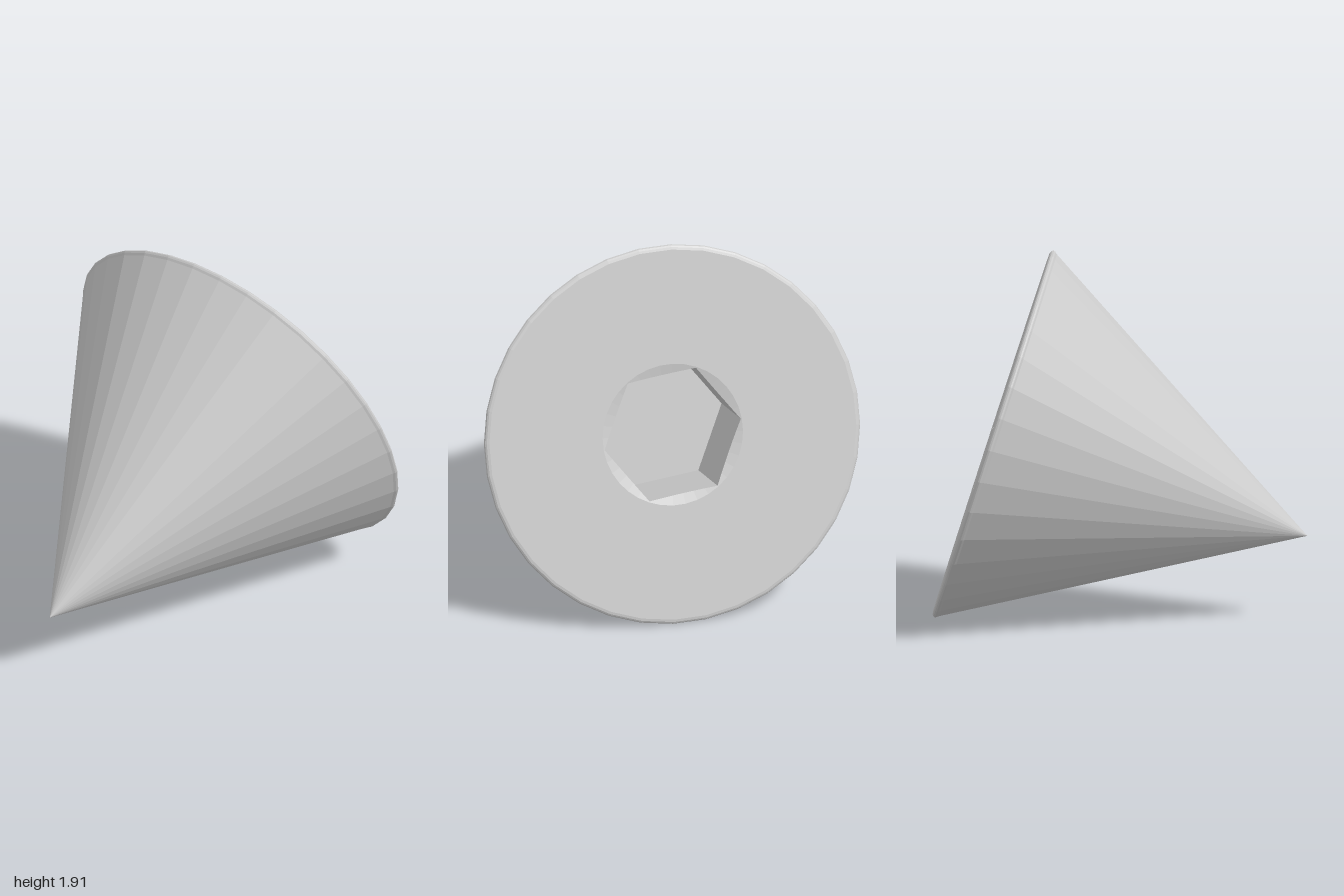
import * as THREE from 'three';

const SIDES = 36;
const PHASE = THREE.MathUtils.degToRad(6); // slight twist about the axis
const HEIGHT = 1.727;    // tip to flat face
const RIM = 0.375;       // circle of the socket chamfer
const APOTHEM = 0.32;    // half width across the hexagon flats
const DEPTH = 0.43;      // socket depth

function lathe(profile) {
  const points = profile.map(([r, y]) => new THREE.Vector2(r, y));
  return new THREE.LatheGeometry(points, SIDES, PHASE);
}

function facetedMesh(name, geometry) {
  const flat = geometry.toNonIndexed();
  flat.computeVertexNormals();
  const material = new THREE.MeshStandardMaterial({ color: 0xcccccc, flatShading: true });
  const mesh = new THREE.Mesh(flat, material);
  mesh.name = name;
  return mesh;
}

// Lathe whose middle rows are pushed out to a hexagon
function socketGeometry() {
  const floor = HEIGHT - DEPTH;
  const geometry = lathe([[RIM, HEIGHT], [APOTHEM, HEIGHT], [APOTHEM, floor], [0, floor]]);
  const pos = geometry.attributes.position;
  const sector = Math.PI / 3;
  for (let i = 0; i < pos.count; i++) {
    const row = i % 4;
    if (row !== 1 && row !== 2) continue;
    const phi = Math.floor(i / 4) * 2 * Math.PI / SIDES;
    const r = APOTHEM / Math.cos(phi - Math.round(phi / sector) * sector);
    // the chamfer sinks towards the flats of the hexagon
    const y = row === 1 ? HEIGHT - 0.25 * (RIM - r) : floor;
    pos.setXYZ(i, r * Math.sin(phi + PHASE), y, r * Math.cos(phi + PHASE));
  }
  return geometry;
}

export function createModel() {
  const model = new THREE.Group();
  model.name = 'countersunkCone';

  const tilted = new THREE.Group();
  tilted.name = 'tiltedCone';
  tilted.position.set(0, 0.435, 0.97);
  tilted.rotation.x = -1.261;
  model.add(tilted);

  // Cone side
  tilted.add(facetedMesh('cone', lathe([[0, 0], [0.992, 1.69]])));

  // Rounded rim and flat back face
  tilted.add(facetedMesh('rimAndFace', lathe([
    [0.992, 1.69], [1.001, 1.7], [1.005, 1.709], [1.001, 1.718], [0.993, 1.724],
    [0.98, HEIGHT], [RIM, HEIGHT],
  ])));

  // Hexagonal recess
  tilted.add(facetedMesh('hexSocket', socketGeometry()));

  return model;
}
